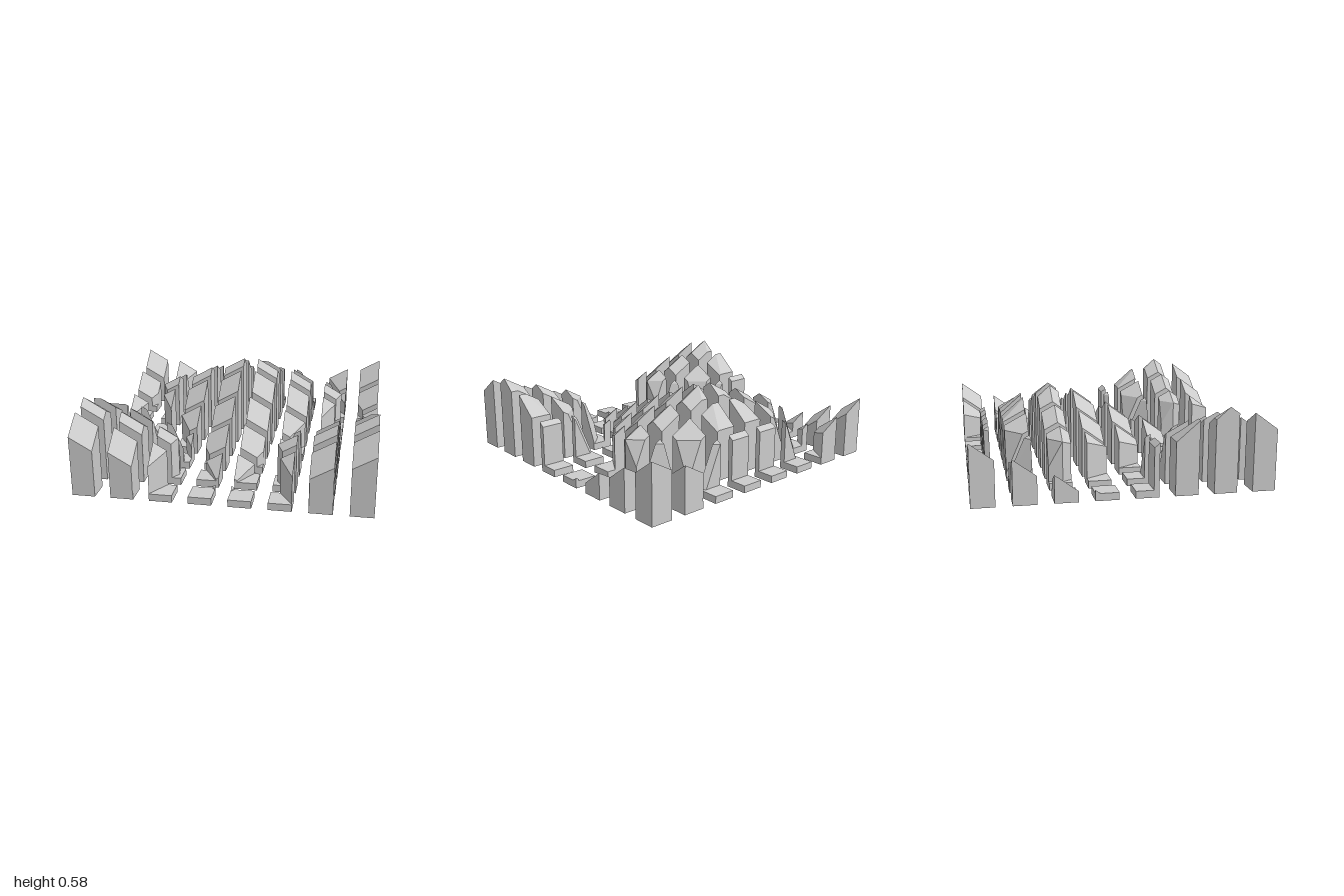
import * as THREE from 'three';

const N = 8, SIZE = 0.156, PITCH = (2 - SIZE) / (N - 1), BASE = 0.05;

// Facets of one half of a crystal mound: [u, v, height], u and v counted in blocks from its apex
const A = [0, 0, 0.58], SIDE = [2.85, 0, 0.3235], BACK = [1.04, -1.83, 0.333];
const HALF = [
  [A, SIDE, [0, 4.61, BASE]],                                  // front slope
  [A, [0, -1.83, 0.333], BACK],                                // middle of the back slope
  [A, BACK, SIDE],                                             // side of the back slope
  [BACK, [1.8, -1.83, BASE], [2.68, -0.95, BASE], SIDE],       // steep back corner
];
// Staggered mounds, apex positions in blocks from the back left corner
const MOUNDS = [[4, 2.6], [0, -1.4], [8, -1.4], [0, 6.6], [8, 6.6]];

const area = p => p.reduce((s, a, i) => {
  const b = p[(i + 1) % p.length];
  return s + a[0] * b[1] - b[0] * a[1];
}, 0);

const FACETS = MOUNDS.flatMap(([cu, cv]) => [1, -1].flatMap(s => HALF.map(poly => {
  const p = poly.map(([u, v, h]) => [cu + s * u, cv + v, h]);
  return area(p) > 0 ? p.reverse() : p;
})));

// Keeps the part of a polygon where sign * (coordinate - limit) is positive
function clip(poly, axis, limit, sign) {
  const out = [];
  poly.forEach((a, i) => {
    const b = poly[(i + 1) % poly.length];
    const da = sign * (a[axis] - limit), db = sign * (b[axis] - limit);
    if (da >= 0) out.push(a);
    if ((da > 0 && db < 0) || (da < 0 && db > 0)) {
      out.push(a.map((c, k) => c + (b[k] - c) * da / (da - db)));
    }
  });
  return out;
}

const contains = (p, u, v) => p.every((a, i) => {
  const b = p[(i + 1) % p.length];
  return (b[0] - a[0]) * (v - a[1]) - (b[1] - a[1]) * (u - a[0]) <= 0;
});

// Faceted upper part of the block in column i, row j
function crystalGeometry(i, j) {
  const pos = [];
  const pt = (p, y) => [(p[0] - i - 0.5) * SIZE, y, (p[1] - j - 0.5) * SIZE];
  const tri = (a, b, c) => pos.push(...a, ...b, ...c);
  const pieces = FACETS
    .map(f => clip(clip(clip(clip(f, 0, i, 1), 0, i + 1, -1), 1, j, 1), 1, j + 1, -1))
    .filter(p => p.length > 2 && Math.abs(area(p)) > 1e-4);
  for (const p of pieces) {
    for (let k = 1; k < p.length - 1; k++) {
      tri(pt(p[0], p[0][2]), pt(p[k], p[k][2]), pt(p[k + 1], p[k + 1][2]));
    }
    // outer walls only, skipping the seams between facets
    p.forEach((a, k) => {
      const b = p[(k + 1) % p.length];
      const du = b[0] - a[0], dv = b[1] - a[1], len = Math.hypot(du, dv);
      if (len < 1e-5) return;
      const u = (a[0] + b[0]) / 2 - dv / len * 1e-3, v = (a[1] + b[1]) / 2 + du / len * 1e-3;
      if (pieces.some(q => q !== p && contains(q, u, v))) return;
      tri(pt(a, BASE), pt(b, BASE), pt(b, b[2]));
      tri(pt(a, BASE), pt(b, b[2]), pt(a, a[2]));
    });
  }
  if (!pos.length) return null;
  const g = new THREE.BufferGeometry();
  g.setAttribute('position', new THREE.Float32BufferAttribute(pos, 3));
  g.computeVertexNormals();
  return g;
}

export function createModel() {
  const group = new THREE.Group();
  const mat = new THREE.MeshStandardMaterial({ color: 0xcccccc, flatShading: true });
  const baseGeo = new THREE.BoxGeometry(SIZE, BASE, SIZE).translate(0, BASE / 2, 0);

  for (let j = 0; j < N; j++) {
    for (let i = 0; i < N; i++) {
      const block = new THREE.Group();
      block.name = `block row ${j + 1} column ${i + 1}`;
      block.position.set(-1 + SIZE / 2 + i * PITCH, 0, -1 + SIZE / 2 + j * PITCH);
      const base = new THREE.Mesh(baseGeo, mat);
      base.name = 'base';
      block.add(base);
      const geo = crystalGeometry(i, j);
      if (geo) {
        const top = new THREE.Mesh(geo, mat);
        top.name = 'facetedTop';
        block.add(top);
      }
      group.add(block);
    }
  }
  return group;
}
